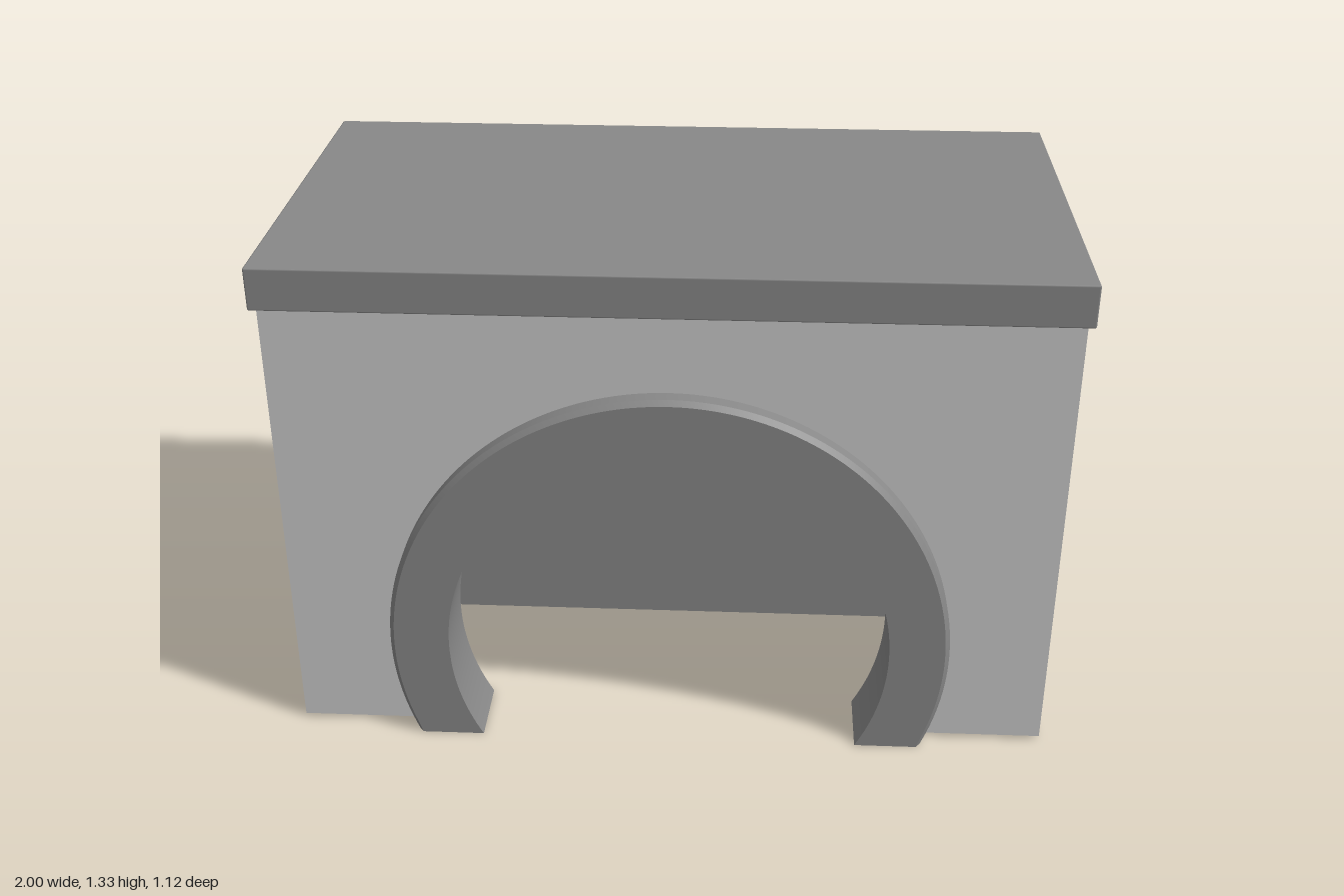
import * as THREE from 'three';
import { toCreasedNormals } from 'three/addons/utils/BufferGeometryUtils.js';
import { RoundedBoxGeometry } from 'three/addons/geometries/RoundedBoxGeometry.js';

const CY = 0.285;                 // height of the arch centre
const VAULT_R = 0.71, RING_OUT = 0.725, RING_IN = 0.57;
const W = 0.985, BASE = 0.01, TOP = 1.22, FRONT = 0.51, BACK = -0.54;

// angle at which a circle round the arch centre meets height y
const footAngle = (r, y) => Math.asin((y - CY) / r);

export function createModel() {
  const group = new THREE.Group();
  const light = new THREE.MeshStandardMaterial({ color: 0xcccccc, side: THREE.DoubleSide });
  const dark = new THREE.MeshStandardMaterial({ color: 0x888888, side: THREE.DoubleSide });
  const add = (name, geometry, material, x = 0, y = 0, z = 0) => {
    const mesh = new THREE.Mesh(geometry, material);
    mesh.name = name;
    mesh.position.set(x, y, z);
    group.add(mesh);
    return mesh;
  };
  const depth = FRONT - BACK, midZ = (FRONT + BACK) / 2;
  const a = footAngle(VAULT_R, BASE);

  // front wall with the arched opening
  const wall = new THREE.Shape();
  wall.moveTo(W, BASE);
  wall.lineTo(W, TOP);
  wall.lineTo(-W, TOP);
  wall.lineTo(-W, BASE);
  wall.absarc(0, CY, VAULT_R, Math.PI - a, a, true);
  add('frontWall', new THREE.ShapeGeometry(wall, 64), light, 0, 0, FRONT);

  // side walls and the floor strips beside the vault
  const vaultFoot = VAULT_R * Math.cos(a);
  for (const s of [-1, 1]) {
    const side = s > 0 ? 'left' : 'right';
    const panel = new THREE.PlaneGeometry(depth, TOP - BASE).rotateY(s * Math.PI / 2);
    add(side + 'Wall', panel, light, s * W, (TOP + BASE) / 2, midZ);
    const strip = new THREE.PlaneGeometry(W - vaultFoot, depth).rotateX(Math.PI / 2);
    add(side + 'Floor', strip, light, s * (W + vaultFoot) / 2, BASE, midZ);
  }

  // thin barrel vault running from front to back
  const half = Math.PI / 2 - a;
  const vault = new THREE.CylinderGeometry(VAULT_R, VAULT_R, depth, 64, 1, true, Math.PI - half, 2 * half);
  add('vault', vault.rotateX(Math.PI / 2), light, 0, CY, midZ);

  // plate closing the vault halfway in
  const plate = new THREE.Shape();
  plate.absarc(0, CY, VAULT_R, a, Math.PI - a, false);
  plate.closePath();
  add('innerPlate', new THREE.ShapeGeometry(plate, 64), dark, 0, 0, -0.03);

  // arch ring, with its outer front edge bevelled
  const ringDepth = 0.19;
  const ao = footAngle(RING_OUT, 0), ai = footAngle(RING_IN, 0);
  const ring = new THREE.Shape();
  ring.absarc(0, CY, RING_OUT, ao, Math.PI - ao, false);
  ring.absarc(0, CY, RING_IN, Math.PI - ai, ai, true);
  ring.closePath();
  const ringGeo = new THREE.ExtrudeGeometry(ring, { depth: ringDepth, steps: 14, bevelEnabled: false, curveSegments: 64 });
  const p = ringGeo.attributes.position;
  for (let i = 0; i < p.count; i++) {
    const x = p.getX(i), y = p.getY(i);
    if (p.getZ(i) < ringDepth - 1e-4 || Math.hypot(x, y - CY) < 0.7) continue;
    const k = 1 - 0.012 / RING_OUT;
    p.setXY(i, x * k, y < 1e-3 ? y : CY + (y - CY) * k);
  }
  add('archRing', toCreasedNormals(ringGeo, 0.5), dark, 0, 0, 0.37);

  // overhanging top slab
  add('topSlab', new RoundedBoxGeometry(2, 0.11, 1.09, 1, 0.005), dark, 0, 1.27, -0.01);

  return group;
}
